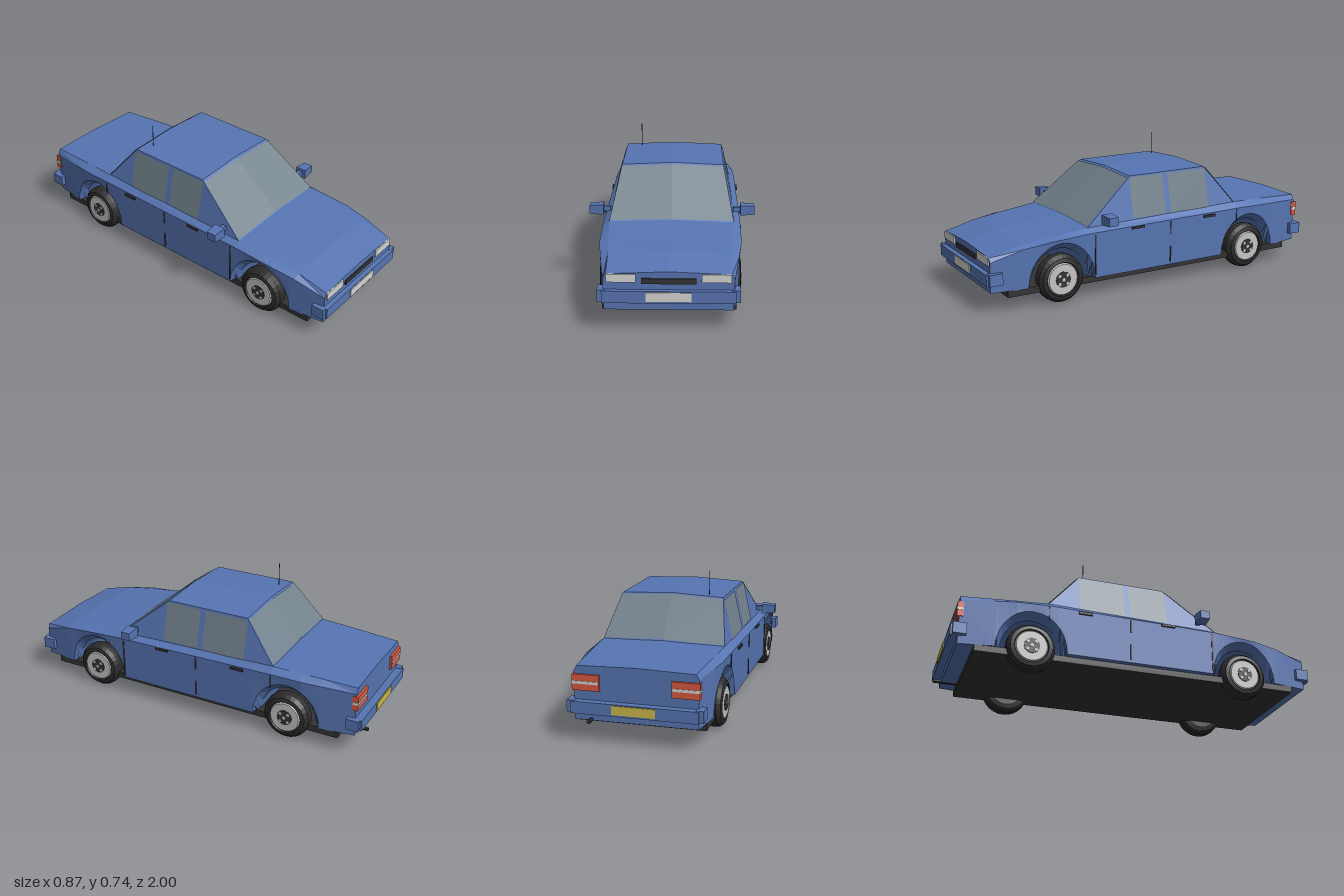
import * as THREE from 'three';

const paint = (name, color, extra = {}) => {
  const m = new THREE.MeshStandardMaterial({ color, flatShading: true, ...extra });
  m.name = name;
  return m;
};

// Skin between closed rings of [x, y, z]; rings run counter-clockwise seen from the first end
function loft(rings) {
  const pos = [], n = rings[0].length;
  const tri = (...p) => p.forEach(v => pos.push(...v));
  for (let i = 0; i < rings.length - 1; i++) {
    for (let j = 0; j < n; j++) {
      const a = rings[i][j], b = rings[i][(j + 1) % n];
      const c = rings[i + 1][j], d = rings[i + 1][(j + 1) % n];
      tri(a, c, b);
      tri(b, c, d);
    }
  }
  const first = rings[0], last = rings[rings.length - 1];
  for (let j = 1; j < n - 1; j++) {
    tri(first[0], first[j], first[j + 1]);
    tri(last[0], last[j + 1], last[j]);
  }
  return fromPositions(pos);
}

function fromPositions(pos) {
  const g = new THREE.BufferGeometry();
  g.setAttribute('position', new THREE.Float32BufferAttribute(pos, 3));
  g.computeVertexNormals();
  return g;
}

// Flat polygon from corner points
function panel(pts) {
  const pos = [];
  for (let j = 1; j < pts.length - 1; j++) pos.push(...pts[0], ...pts[j], ...pts[j + 1]);
  return fromPositions(pos);
}

export function createModel() {
  const car = new THREE.Group();
  car.name = 'car';
  const blue = paint('bodyBlue', 0x5775b3);
  const glass = paint('glassGrey', 0x73828c, { side: THREE.DoubleSide });
  const black = paint('trimBlack', 0x333333);
  const rubber = paint('tyreBlack', 0x2c2c2c);
  const rimGrey = paint('rimGrey', 0xc4c4c4);
  const white = paint('lampWhite', 0xd6d6d2);
  const red = paint('lampRed', 0xd9593f);
  const yellow = paint('plateYellow', 0xcdb94c);

  const add = (name, geo, mat, parent = car) => {
    const m = new THREE.Mesh(geo, mat);
    m.name = name;
    parent.add(m);
    return m;
  };
  // Box given by its min and max on each axis
  const box = (name, mat, x0, x1, y0, y1, z0, z1) => {
    const m = add(name, new THREE.BoxGeometry(Math.abs(x1 - x0), y1 - y0, z1 - z0), mat);
    m.position.set((x0 + x1) / 2, (y0 + y1) / 2, (z0 + z1) / 2);
    return m;
  };

  // Lower body: z, crease x, crease y, belt x, belt y, centre y
  const table = [
    [0.97, 0.312, 0.265, 0.297, 0.288, 0.30],
    [0.80, 0.338, 0.315, 0.300, 0.330, 0.342],
    [0.66, 0.355, 0.335, 0.310, 0.347, 0.356],
    [0.43, 0.360, 0.350, 0.325, 0.372, 0.382],
    [-0.50, 0.360, 0.365, 0.325, 0.395, 0.402],
    [-0.67, 0.355, 0.362, 0.315, 0.390, 0.398],
    [-0.955, 0.312, 0.350, 0.297, 0.378, 0.386],
  ];
  const sample = z => {
    let i = 0;
    while (i < table.length - 2 && z < table[i + 1][0]) i++;
    const a = table[i], b = table[i + 1], t = (z - a[0]) / (b[0] - a[0]);
    return a.map((v, k) => v + (b[k] - v) * t);
  };
  const axleZ = [0.592, -0.585], floorY = 0.108;
  const arch = (z, half, rise) => axleZ.reduce((y, c) => {
    const d = (z - c) / half;
    return Math.max(y, floorY + rise * Math.sqrt(Math.max(0, 1 - d * d)));
  }, floorY);
  const stations = table.map(r => r[0]);
  for (const c of axleZ) {
    for (let i = 0; i <= 14; i++) stations.push(c + 0.185 * Math.cos(i * Math.PI / 14));
    stations.push(c + 0.157, c - 0.157);
  }
  stations.sort((a, b) => b - a);
  add('body', loft(stations.map(z => {
    const [, cx, cy, bx, by, top] = sample(z);
    const yo = arch(z, 0.185, 0.213), yi = arch(z, 0.158, 0.178);
    const half = [[cx - 0.045, yi], [cx - 0.004, yo], [cx, cy], [bx, by]];
    return [[0, yi, z], ...half.map(p => [p[0], p[1], z]), [0, top, z],
      ...half.reverse().map(p => [-p[0], p[1], z])];
  })), blue);

  // Cabin with crowned roof
  const cabinRing = (x, yf, zf, yr, zr, crown) => [
    [0, yf + crown, zf], [x, yf, zf], [x, yr, zr],
    [0, yr + crown, zr], [-x, yr, zr], [-x, yf, zf]];
  add('cabin', loft([
    cabinRing(0.275, 0.605, 0.15, 0.608, -0.325, 0.012),
    cabinRing(0.325, 0.37, 0.437, 0.393, -0.5, 0.01),
  ]), blue);

  // Windscreen and rear window, each in two halves meeting on the centre line
  const endGlass = (name, yt, zt, yb, zb, s) => {
    const p = (x, t, c) => [x, yb + (yt - yb) * t + c + 0.003, zb + (zt - zb) * t + s * 0.003];
    for (const k of [1, -1]) {
      add(name, panel([p(0, 0.02, 0.01), p(k * 0.323, 0.02, 0), p(k * 0.276, 0.96, 0), p(0, 0.96, 0.012)]), glass);
    }
  };
  endGlass('windscreen', 0.605, 0.15, 0.37, 0.437, 1);
  endGlass('rearWindow', 0.608, -0.325, 0.393, -0.5, -1);

  for (const s of [1, -1]) {
    // Side windows
    const onSide = (y, z) => [s * (0.329 - 0.05 * (y - 0.378) / 0.23), y, z];
    for (const [name, z0, z1] of [['frontSideWindow', 0.158, -0.048], ['rearSideWindow', -0.08, -0.328]]) {
      add(name, panel([onSide(0.387, z0), onSide(0.387, z1), onSide(0.597, z1), onSide(0.597, z0)]), glass);
    }

    // Door handles and door gaps
    for (const z of [0.152, -0.308]) box('doorHandle', black, s * 0.352, s * 0.37, 0.341, 0.354, z - 0.037, z + 0.037);
    box('doorGap', black, s * 0.35, s * 0.362, 0.125, 0.34, 0.402, 0.41);
    box('doorGap', black, s * 0.35, s * 0.362, 0.125, 0.21, -0.06, -0.054);
    box('doorGap', black, s * 0.35, s * 0.363, 0.28, 0.35, -0.06, -0.054);
    box('doorGap', black, s * 0.35, s * 0.362, 0.29, 0.36, -0.502, -0.498);

    // Door mirror: tapered housing on a short stub
    box('mirrorStub', blue, s * 0.322, s * 0.362, 0.4, 0.426, 0.325, 0.35);
    const housing = box('mirrorHousing', blue, s * 0.36, s * 0.434, 0.386, 0.441, 0.308, 0.37);
    const hp = housing.geometry.attributes.position;
    for (let i = 0; i < hp.count; i++) {
      if (hp.getX(i) * s > 0) hp.setXYZ(i, hp.getX(i), hp.getY(i) * 0.8, hp.getZ(i) * 0.85);
    }

    // Lamps
    box('headlamp', white, s * 0.155, s * 0.297, 0.248, 0.288, 0.95, 0.977);
    box('tailLamp', red, s * 0.18, s * 0.318, 0.258, 0.338, -0.967, -0.935);
    box('tailLampStripe', white, s * 0.185, s * 0.32, 0.291, 0.305, -0.97, -0.937);

    // Bumper ends
    box('frontBumperEnd', blue, s * 0.3, s * 0.34, 0.152, 0.212, 0.915, 0.985);
    box('rearBumperEnd', blue, s * 0.3, s * 0.34, 0.152, 0.212, -0.985, -0.915);

    // Wheels
    for (const z of axleZ) {
      const wheel = new THREE.Group();
      wheel.name = 'wheel';
      wheel.position.set(s * 0.308, 0.13, z);
      wheel.rotation.z = -s * Math.PI / 2;
      car.add(wheel);
      const profile = [[0, -0.046], [0.085, -0.046], [0.11, -0.04], [0.126, -0.022], [0.128, 0],
        [0.126, 0.022], [0.11, 0.042], [0.09, 0.047], [0.086, 0.038], [0, 0.038]];
      add('tyre', new THREE.LatheGeometry(profile.map(p => new THREE.Vector2(...p)), 28), rubber, wheel);
      add('rim', new THREE.CylinderGeometry(0.08, 0.088, 0.012, 28), rimGrey, wheel).position.y = 0.04;
      add('hub', new THREE.CylinderGeometry(0.042, 0.042, 0.006, 12), black, wheel).position.y = 0.047;
      add('hubCap', new THREE.CylinderGeometry(0.01, 0.01, 0.004, 8), rimGrey, wheel).position.y = 0.051;
      for (let i = 0; i < 4; i++) {
        const a = Math.PI / 4 + i * Math.PI / 2;
        add('wheelBolt', new THREE.CylinderGeometry(0.009, 0.009, 0.004, 8), rimGrey, wheel)
          .position.set(0.031 * Math.cos(a), 0.05, 0.031 * Math.sin(a));
      }
    }
  }

  // Bumpers, grille, plates
  box('frontBumper', blue, -0.318, 0.318, 0.15, 0.21, 0.94, 0.995);
  box('rearBumper', blue, -0.318, 0.318, 0.15, 0.21, -0.995, -0.94);
  box('grille', black, -0.13, 0.13, 0.24, 0.267, 0.955, 0.977);
  box('frontPlate', white, -0.108, 0.108, 0.16, 0.205, 0.992, 1);
  box('rearPlate', yellow, -0.108, 0.108, 0.16, 0.205, -1, -0.992);

  // Underbody, exhaust and aerial
  box('chassis', black, -0.325, 0.325, 0.075, 0.11, -0.872, 0.885);
  const exhaust = add('exhaust', new THREE.CylinderGeometry(0.01, 0.01, 0.16, 10), black);
  exhaust.rotation.x = Math.PI / 2;
  exhaust.position.set(0.225, 0.113, -0.92);
  add('aerial', new THREE.CylinderGeometry(0.002, 0.002, 0.135, 6), black).position.set(-0.19, 0.67, -0.28);

  return car;
}
